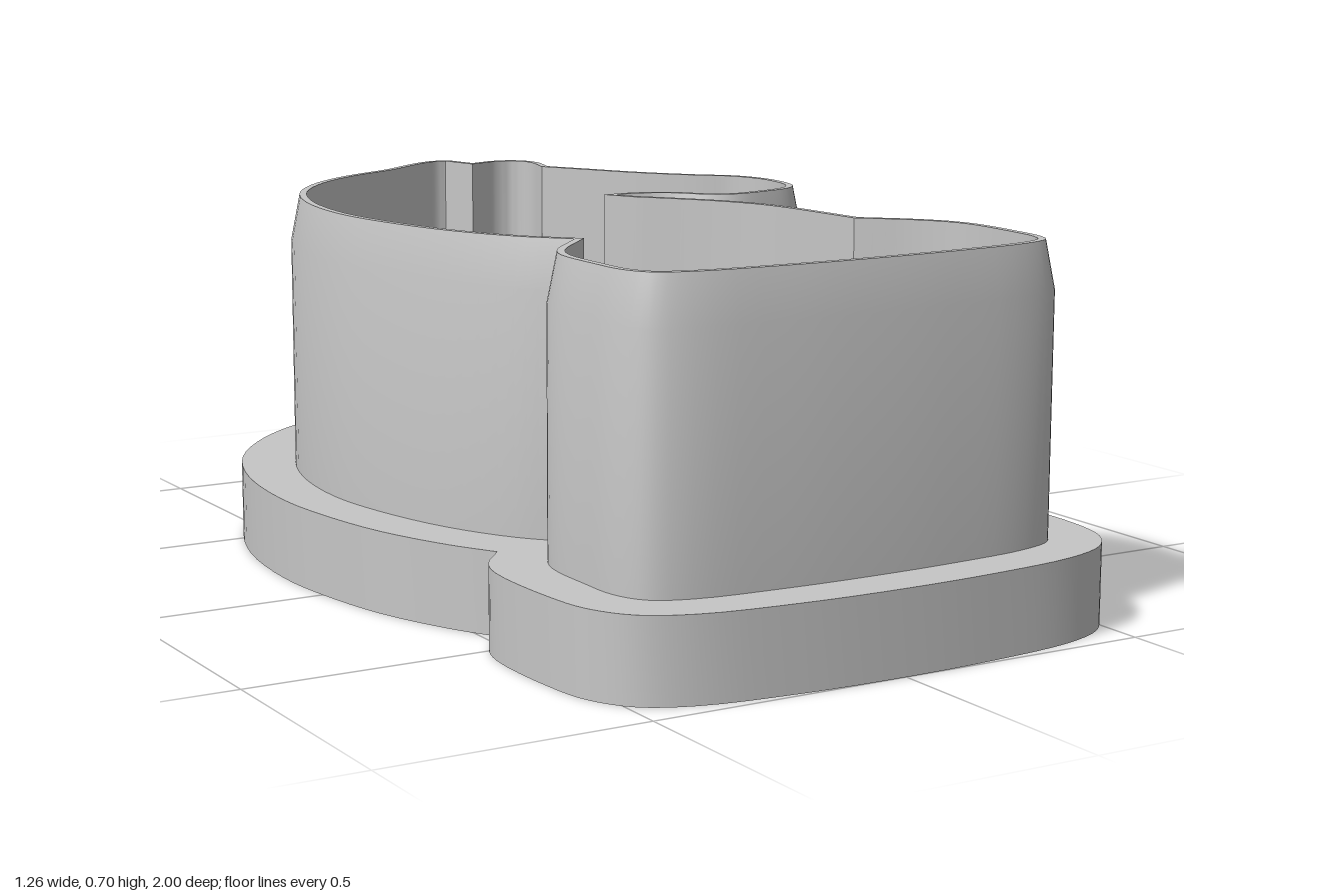
import * as THREE from 'three';
import { toCreasedNormals } from 'three/addons/utils/BufferGeometryUtils.js';

// Outlines seen from above (x, z in hundredths); each run is a smooth curve, runs meet at sharp corners
const WALL = [
  [-33.5, 41.5, -39.5, 34.5, -46.5, 21, -51.5, 3, -53.3, -13, -51, -32.5, -44.5, -50, -34.5, -63.5, -23.5, -72.5,
    -10.5, -79.6, -4, -84.5, 2, -88.6, 7, -90.3, 11.5, -89.2, 13.7, -82.5],                   // mane and front ear
  [13.7, -82.5, 18, -83.8, 23, -83, 26.5, -79.5, 27.3, -74, 25.5, -66.5],                     // second ear
  [25.5, -66.5, 30, -58.5, 36.5, -47, 44, -37.5, 50, -31.5, 52.6, -25, 53.2, -18.5, 51.2, -9, 47, -4, 39, -1.1,
    30, 0, 24, -3, 20, -8, 16.5, -10.2, 11.5, -11.5],                                         // face and jaw
  [11.5, -11.5, 18, -3.5, 24, 5, 28, 13.5, 30, 22, 31, 31.5, 31.8, 40.5],                     // throat
  [31.8, 40.5, 38.5, 47, 43, 53.5, 45, 60, 45.1, 72, 44.2, 80.5, 41.5, 85.3, 34, 88.2, 18, 89.8, 0, 90.3,
    -18, 89.8, -35, 88, -42, 84.8, -45, 79, -45.5, 70, -45, 58, -42, 51, -33.5, 41.5],        // plinth
];
const FLANGE = [
  [-47.5, 42.5, -52.5, 33.5, -58.5, 18, -62, 0, -63, -15.5, -60.5, -37, -53.5, -56.5, -42, -72, -29, -82.5,
    -14.5, -89.2, -7, -94.5, 0, -98.6, 8, -100, 15.5, -98, 20.5, -93.8],
  [20.5, -93.8, 26, -93.3, 32, -89.5, 35.8, -83, 36.8, -75.5, 35.8, -68],
  [35.8, -68, 41, -58, 48, -47.5, 55.5, -39.5, 61, -30, 62.9, -18, 60.5, -6.5, 55, 2, 48, 6.5, 36.8, 9.8],
  [36.8, 9.8, 39.5, 20, 41, 29.5, 41, 36.8],
  [41, 36.8, 49.5, 44.7, 53.7, 52, 54.8, 61, 54.8, 77, 52.5, 86.5, 47, 93, 37.5, 97, 19, 99.3, 0, 100,
    -21, 99.2, -39.5, 96.5, -48.5, 92, -53.3, 84.5, -55, 74.5, -55, 56, -52.7, 49, -47.5, 42.5],
];

const BASE_H = 0.155, BEVEL_Y = 0.61, TOP_Y = 0.7, BEVEL = 0.018, THICK = 0.032;

// Closed loop of Vector2 (x, z) from a list of runs
function outline(runs) {
  const loop = [];
  for (const run of runs) {
    const pts = [];
    for (let i = 0; i < run.length; i += 2) pts.push(new THREE.Vector3(run[i] / 100, 0, run[i + 1] / 100));
    const curve = new THREE.CatmullRomCurve3(pts, false, 'centripetal');
    const samples = curve.getPoints((pts.length - 1) * 4);
    samples.pop();
    samples.forEach((p) => loop.push(new THREE.Vector2(p.x, p.z)));
  }
  return loop;
}

// Moves a loop inward by d, with a limited mitre at the corners
function inset(loop, d) {
  const n = loop.length;
  const normal = (a, b) => new THREE.Vector2(a.y - b.y, b.x - a.x).normalize();
  return loop.map((p, i) => {
    const n1 = normal(loop[(i + n - 1) % n], p);
    const n2 = normal(p, loop[(i + 1) % n]);
    const m = n1.clone().add(n2).normalize();
    return p.clone().addScaledVector(m, d / Math.max(m.dot(n1), 0.65));
  });
}

// Skin over a stack of matching loops, each at its own height
function loft(rings) {
  const pos = [], n = rings[0].loop.length;
  const put = (ring, i) => pos.push(ring.loop[i % n].x, ring.y, ring.loop[i % n].y);
  for (let r = 0; r < rings.length - 1; r++) {
    const a = rings[r], b = rings[r + 1];
    for (let i = 0; i < n; i++) {
      put(a, i); put(b, i); put(a, i + 1);
      put(a, i + 1); put(b, i); put(b, i + 1);
    }
  }
  const geo = new THREE.BufferGeometry();
  geo.setAttribute('position', new THREE.Float32BufferAttribute(pos, 3));
  return toCreasedNormals(geo, 0.5);
}

export function createModel() {
  const group = new THREE.Group();
  group.name = 'horseHeadCutter';
  const grey = new THREE.MeshStandardMaterial({ color: 0xc6c6c6 });
  grey.name = 'grey plastic';

  const outer = outline(WALL);
  const inner = inset(outer, THICK);

  // Thin cutting wall, bevelled on the outside towards the top edge
  const wall = new THREE.Mesh(loft([
    { loop: outer, y: BASE_H },
    { loop: outer, y: BEVEL_Y },
    { loop: inset(outer, BEVEL), y: TOP_Y },
    { loop: inner, y: TOP_Y },
    { loop: inner, y: BASE_H },
  ]), grey);
  wall.name = 'cuttingWall';
  group.add(wall);

  // Wide flat flange; the opening runs the opposite way round so its sides face inward
  const flip = (loop) => loop.map((p) => new THREE.Vector2(p.x, -p.y));
  const shape = new THREE.Shape(flip(outline(FLANGE)));
  shape.holes.push(new THREE.Path(flip(inner).reverse()));
  const flangeGeo = new THREE.ExtrudeGeometry(shape, { depth: BASE_H, bevelEnabled: false });
  flangeGeo.rotateX(-Math.PI / 2);
  const flange = new THREE.Mesh(toCreasedNormals(flangeGeo, 0.5), grey);
  flange.name = 'baseFlange';
  group.add(flange);

  return group;
}
